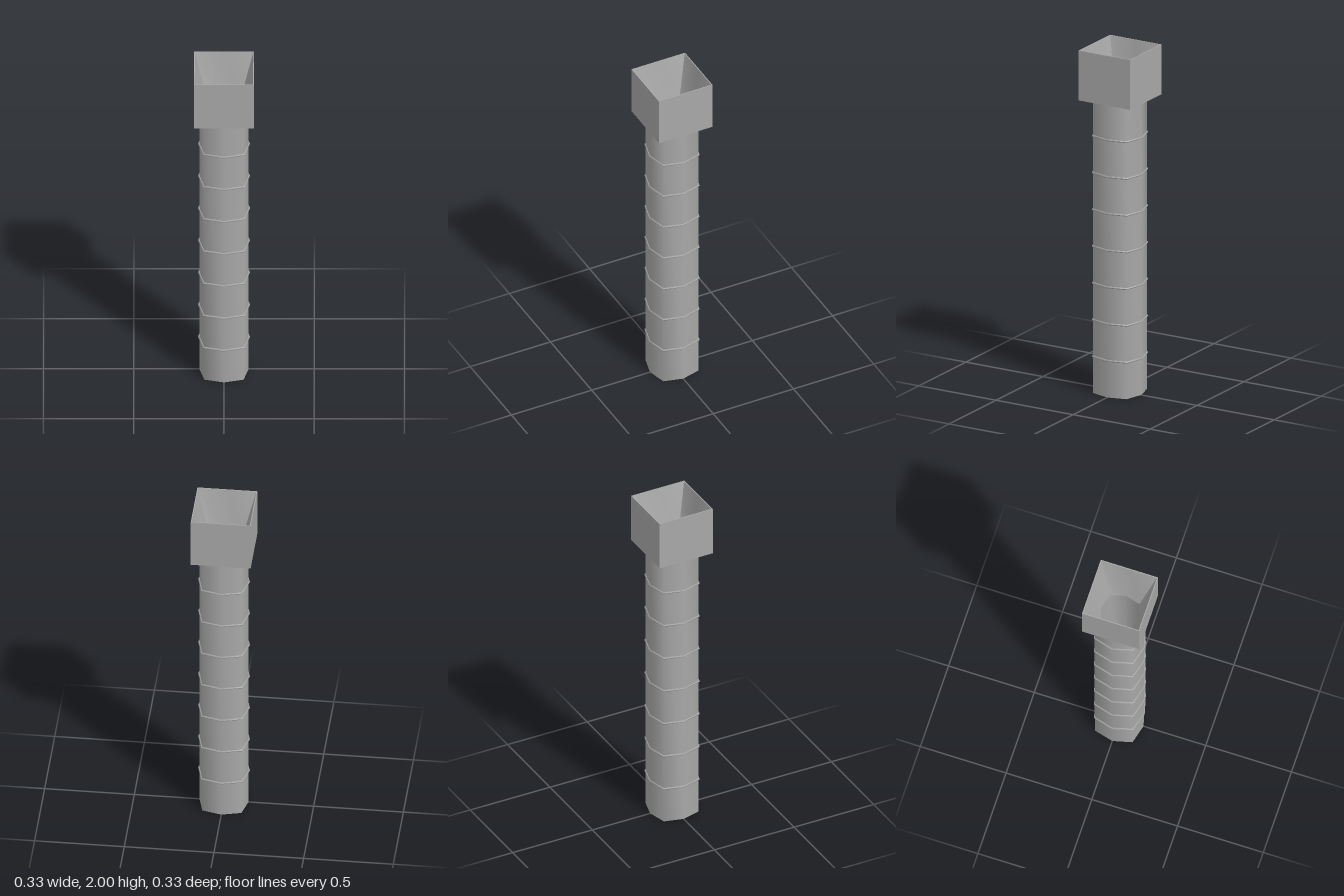
import * as THREE from 'three';
import { toCreasedNormals } from 'three/addons/utils/BufferGeometryUtils.js';

// Eight-sided lathe; each profile point is [radius on the axes, radius on the diagonals, y]
function octLathe(profile, crease) {
  const points = profile.map(([r, , y]) => new THREE.Vector2(r, y));
  const geometry = new THREE.LatheGeometry(points, 8);
  const pos = geometry.attributes.position;
  const n = profile.length;
  for (let i = 0; i < pos.count; i++) {
    const side = Math.floor(i / n);
    const [axis, diagonal, y] = profile[i % n];
    const r = side % 2 ? diagonal : axis;
    const a = ((side % 8) * Math.PI) / 4;
    pos.setXYZ(i, r * Math.sin(a), y, r * Math.cos(a));
  }
  return toCreasedNormals(geometry, crease);
}

export function createModel() {
  const group = new THREE.Group();
  const grey = new THREE.MeshStandardMaterial({ color: 0xa8a8a8 });
  grey.name = 'grey';

  const add = (name, geometry) => {
    const mesh = new THREE.Mesh(geometry, grey);
    mesh.name = name;
    group.add(mesh);
    return mesh;
  };

  const headBase = 1.71;
  const square = (half, y) => [half, half * Math.SQRT2, y];

  // Hollow pipe: bore, bottom lip, outer wall
  add('pipe', octLathe([
    [0.109, 0.12, headBase],
    [0.109, 0.12, 0],
    [0.137, 0.154, 0],
    [0.137, 0.154, headBase],
  ], 1.2));

  // Square head with a funnel narrowing to the bore
  add('funnelHead', octLathe([
    [0.109, 0.12, headBase],
    square(0.167, headBase),
    square(0.167, 2),
    square(0.162, 2),
    [0.109, 0.12, headBase],
  ], 0.9));

  // Thin bands around the pipe
  const section = [];
  for (let i = 0; i <= 6; i++) {
    const a = (i / 6) * Math.PI * 2;
    const out = 0.006 * Math.cos(a);
    section.push([0.139 + out, 0.155 + out, 0.006 * Math.sin(a)]);
  }
  const band = octLathe(section, 1.2);
  for (let i = 1; i <= 7; i++) add('band' + i, band).position.y = 0.214 * i;

  return group;
}
